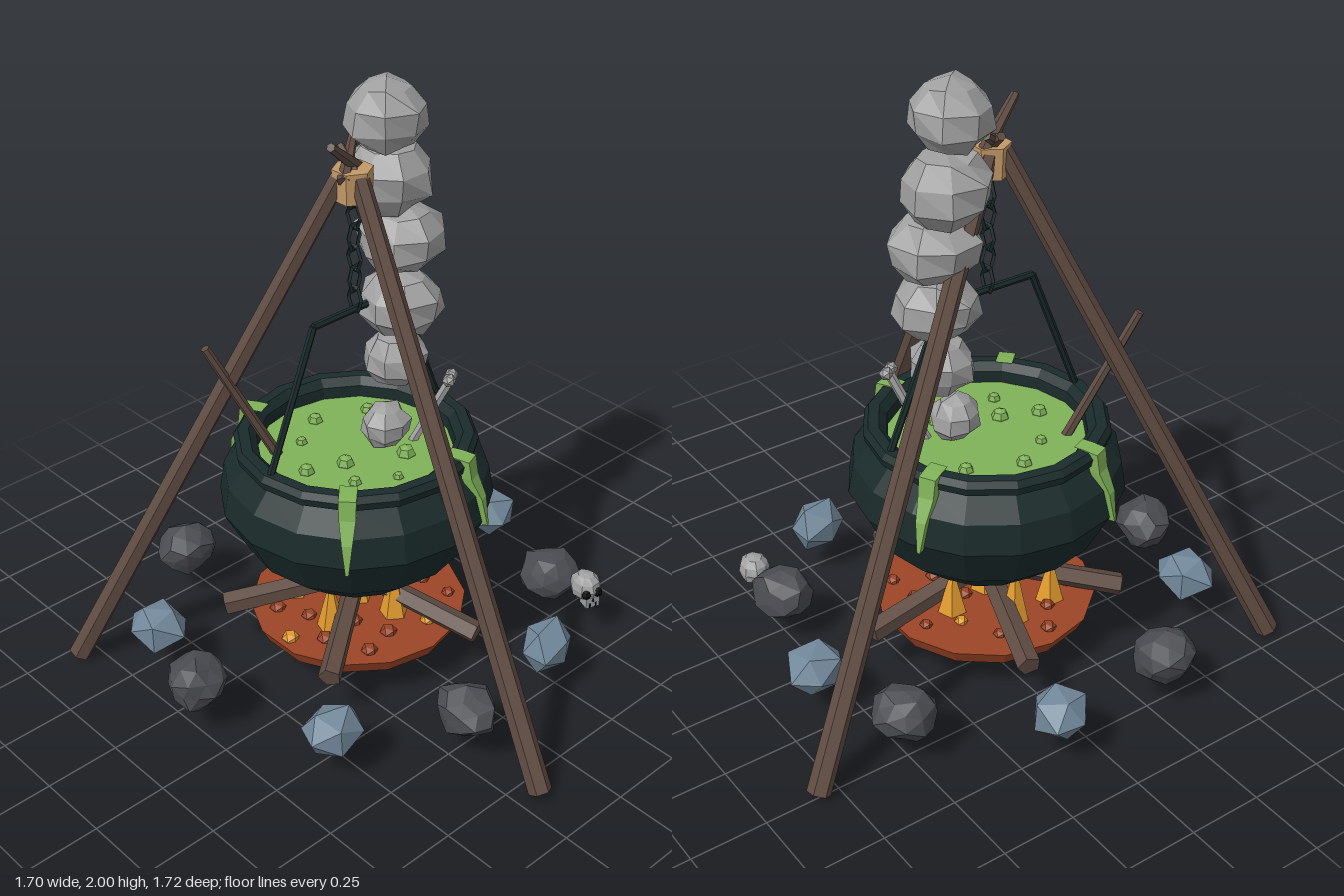
import * as THREE from 'three';

const mat = (name, color) => {
  const m = new THREE.MeshStandardMaterial({ color, flatShading: true });
  m.name = name;
  return m;
};
const V = (x, y, z) => new THREE.Vector3(x, y, z);

export function createModel() {
  const iron = mat('blackIron', 0x1a2a2a), wood = mat('wood', 0x5f4c42), slime = mat('slime', 0x80b258),
    grey = mat('smokeAndBone', 0xa0a0a0), paleStone = mat('paleStone', 0x71889a), darkStone = mat('darkStone', 0x4b4c51),
    ember = mat('ember', 0x9c4526), flame = mat('flame', 0xe39c2e), rope = mat('rope', 0xc49a68), black = mat('black', 0x0c0c0c);
  const root = new THREE.Group();
  root.name = 'cauldronCamp';
  const CX = -0.06, CZ = -0.13; // centre of the pot and fire

  const add = (name, geo, material, x = 0, y = 0, z = 0, parent = root) => {
    const m = new THREE.Mesh(geo, material);
    m.name = name;
    m.position.set(x, y, z);
    parent.add(m);
    return m;
  };
  // Straight pole from a to b
  const pole = (name, a, b, ra, rb, material, sides = 6) => {
    const d = b.clone().sub(a), c = a.clone().add(b).multiplyScalar(0.5);
    const m = add(name, new THREE.CylinderGeometry(rb, ra, d.length(), sides), material, c.x, c.y, c.z);
    m.quaternion.setFromUnitVectors(V(0, 1, 0), d.normalize());
    return m;
  };
  // Uneven lump: each corner is pushed in or out by a rule on its position
  const lump = (geo, sx, sy, sz, seed, amount) => {
    const p = geo.attributes.position, v = V(0, 0, 0);
    for (let i = 0; i < p.count; i++) {
      v.fromBufferAttribute(p, i);
      const [a, b, c] = v.toArray().map((t) => Math.round(t * 100) / 100);
      const s = 1 + amount * Math.sin(a * 5.3 + b * 7.1 + c * 3.7 + seed * 2.3);
      p.setXYZ(i, v.x * s * sx, v.y * s * sy, v.z * s * sz);
    }
    geo.computeVertexNormals();
    return geo;
  };

  // Cauldron body with rolled rim and inner wall
  const profile = [[0, 0.34], [0.22, 0.34], [0.37, 0.47], [0.447, 0.62], [0.43, 0.72], [0.37, 0.79],
    [0.39, 0.8], [0.395, 0.825], [0.38, 0.845], [0.345, 0.845], [0.32, 0.82], [0.315, 0.74]];
  add('cauldron', new THREE.LatheGeometry(profile.map(([r, y]) => new THREE.Vector2(r, y)), 16), iron, CX, 0, CZ);
  add('brew', new THREE.CylinderGeometry(0.325, 0.325, 0.02, 16), slime, CX, 0.77, CZ);
  [[-0.15, -0.08, 0.03], [-0.27, -0.13, 0.027], [0.03, 0.01, 0.032], [-0.2, 0.02, 0.022], [-0.05, -0.34, 0.026],
    [-0.17, -0.27, 0.02], [0.12, -0.27, 0.025], [-0.08, 0.09, 0.018]].forEach(([x, z, r]) =>
    add('bubble', new THREE.SphereGeometry(r, 6, 4), slime, x, 0.782, z));

  // Drips: tapering strips that follow the rim and belly
  const dripPath = [[0.36, 0.85, 0.028], [0.405, 0.845, 0.028], [0.415, 0.78, 0.026], [0.448, 0.71, 0.017], [0.464, 0.61, 0.005]];
  const dripGeo = () => {
    const pos = [], idx = [];
    dripPath.forEach(([r, y, w]) => [[r, -w], [r, w], [r - 0.035, w], [r - 0.035, -w]]
      .forEach(([d, s]) => pos.push(s, y, d)));
    for (let i = 0; i < dripPath.length - 1; i++)
      for (let k = 0; k < 4; k++) {
        const a = i * 4 + k, b = i * 4 + (k + 1) % 4;
        idx.push(a, a + 4, b, b, a + 4, b + 4);
      }
    idx.push(0, 1, 2, 0, 2, 3);
    const g = new THREE.BufferGeometry();
    g.setAttribute('position', new THREE.Float32BufferAttribute(pos, 3));
    g.setIndex(idx);
    g.computeVertexNormals();
    return g;
  };
  slime.side = THREE.DoubleSide;
  [[-0.29, 0.28], [0.15, 0.37], [0.36, 0.19 * -1], [-0.16, -0.37]].forEach(([dx, dz]) => {
    add('drip', dripGeo(), slime, CX, 0, CZ).rotation.y = Math.atan2(dx, dz);
  });

  // Handle and chain
  const bail = [V(-0.435, 0.8, -0.125), V(-0.23, 1.29, -0.125), V(0.11, 1.29, -0.125), V(0.315, 0.8, -0.125)];
  for (let i = 0; i < 3; i++) pole('handle', bail[i], bail[i + 1], 0.012, 0.012, iron);
  for (let i = 0; i < 6; i++) {
    const link = add('chainLink', new THREE.TorusGeometry(0.027, 0.007, 4, 6), iron, CX, 1.325 + i * 0.07, -0.125);
    link.scale.y = 1.6;
    link.rotation.y = i % 2 ? 0.15 : 1.65;
  }

  // Tripod with rope binding
  pole('tripodLeg', V(-0.176, 0.02, 0.825), V(-0.07, 1.75, -0.09), 0.038, 0.03, wood);
  pole('tripodLeg', V(0.82, 0.02, -0.5), V(-0.05, 1.75, -0.14), 0.038, 0.03, wood);
  pole('tripodLeg', V(-0.82, 0.02, -0.7), V(-0.09, 1.75, -0.14), 0.038, 0.03, wood);
  pole('poleTip', V(-0.03, 1.75, -0.14), V(-0.185, 1.875, -0.08), 0.022, 0.014, wood);
  pole('poleTip', V(-0.12, 1.74, -0.1), V(0, 1.825, -0.19), 0.022, 0.014, wood);
  pole('poleTip', V(-0.07, 1.74, -0.1), V(-0.055, 1.81, -0.19), 0.022, 0.014, wood);
  add('ropeBinding', new THREE.CylinderGeometry(0.064, 0.06, 0.1, 6), rope, -0.067, 1.715, -0.12);

  // Stirring stick and bone standing in the brew
  pole('stirringStick', V(-0.25, 0.74, -0.27), V(-0.455, 1.2, -0.375), 0.018, 0.015, wood);
  pole('bone', V(0.1, 0.75, -0.05), V(0.192, 1.0, 0.04), 0.016, 0.016, grey);
  [[0.18, 0.05], [0.21, 0.03]].forEach(([x, z]) => add('boneKnob', new THREE.IcosahedronGeometry(0.023, 0), grey, x, 1.01, z));

  // Column of smoke puffs
  [[0.08, 1.89, -0.13, 0.135, 0.115], [0.11, 1.68, -0.15, 0.145, 0.118], [0.125, 1.48, -0.11, 0.148, 0.112],
    [0.1, 1.275, -0.09, 0.14, 0.11], [0.095, 1.07, -0.105, 0.108, 0.092], [0.03, 0.85, -0.085, 0.084, 0.078]]
    .forEach(([x, y, z, r, h], i) => {
      add('smokePuff', lump(new THREE.SphereGeometry(1, 8, 5), r, h, r, i + 1, 0.08), grey, x, y, z).rotation.y = i * 1.1;
    });

  // Ember bed, coals and flames
  add('emberBed', new THREE.CylinderGeometry(0.365, 0.34, 0.05, 14), ember, CX, 0.15, CZ);
  for (let i = 0; i < 18; i++) {
    const a = i * 2.4, r = 0.08 + 0.24 * Math.sqrt(i / 18);
    add('coal', lump(new THREE.IcosahedronGeometry(0.026, 0), 1, 0.8, 1, i, 0.15), i % 6 === 5 ? flame : ember,
      CX + r * Math.cos(a), 0.18, CZ + r * Math.sin(a));
  }
  [[-0.23, -0.075, 0.2], [-0.03, 0.015, 0.22], [-0.04, -0.32, 0.23], [-0.2, -0.3, 0.18], [0.1, -0.17, 0.18], [-0.06, -0.13, 0.2]]
    .forEach(([x, z, h]) => add('flame', new THREE.ConeGeometry(0.05, h, 5), flame, x, 0.17 + h / 2, z));

  // Five logs leaning to the middle
  for (let i = 0; i < 5; i++) {
    const a = i * Math.PI * 0.4, c = Math.cos(a), s = Math.sin(a);
    pole('log', V(CX + 0.45 * c, 0.19, CZ + 0.45 * s), V(CX + 0.07 * c, 0.265, CZ + 0.07 * s), 0.039, 0.036, wood, 5);
  }

  // Ring of stones, dark and pale in turn
  [[-0.315, -0.75], [0.12, -0.77], [0.51, -0.5], [0.625, -0.17], [0.51, 0.23], [0.21, 0.49], [-0.205, 0.53],
    [-0.57, 0.31], [-0.73, -0.16], [-0.65, -0.465]].forEach(([x, z], i) => {
    const g = lump(new THREE.IcosahedronGeometry(1, i % 2 ? 0 : 1), 0.106, 0.088, 0.092, i, 0.1);
    add('stone', g, i % 2 ? paleStone : darkStone, x, 0.18, z).rotation.y = i * 1.3;
  });

  // Small skull beside the stones
  const skull = new THREE.Group();
  skull.name = 'skull';
  skull.position.set(0.53, 0.195, 0.375);
  skull.rotation.y = -0.35;
  root.add(skull);
  add('cranium', lump(new THREE.SphereGeometry(1, 8, 6), 0.053, 0.052, 0.06, 2, 0.04), grey, 0, 0, 0, skull);
  add('jaw', new THREE.BoxGeometry(0.05, 0.04, 0.045), grey, 0, -0.036, 0.035, skull);
  [-1, 1].forEach((s) => {
    add('eyeSocket', new THREE.SphereGeometry(0.017, 6, 4), black, s * 0.022, -0.004, 0.049, skull);
    add('toothGap', new THREE.BoxGeometry(0.005, 0.018, 0.006), black, s * 0.011, -0.046, 0.057, skull);
  });
  add('noseHole', new THREE.ConeGeometry(0.008, 0.014, 3), black, 0, -0.022, 0.057, skull);

  return root;
}
